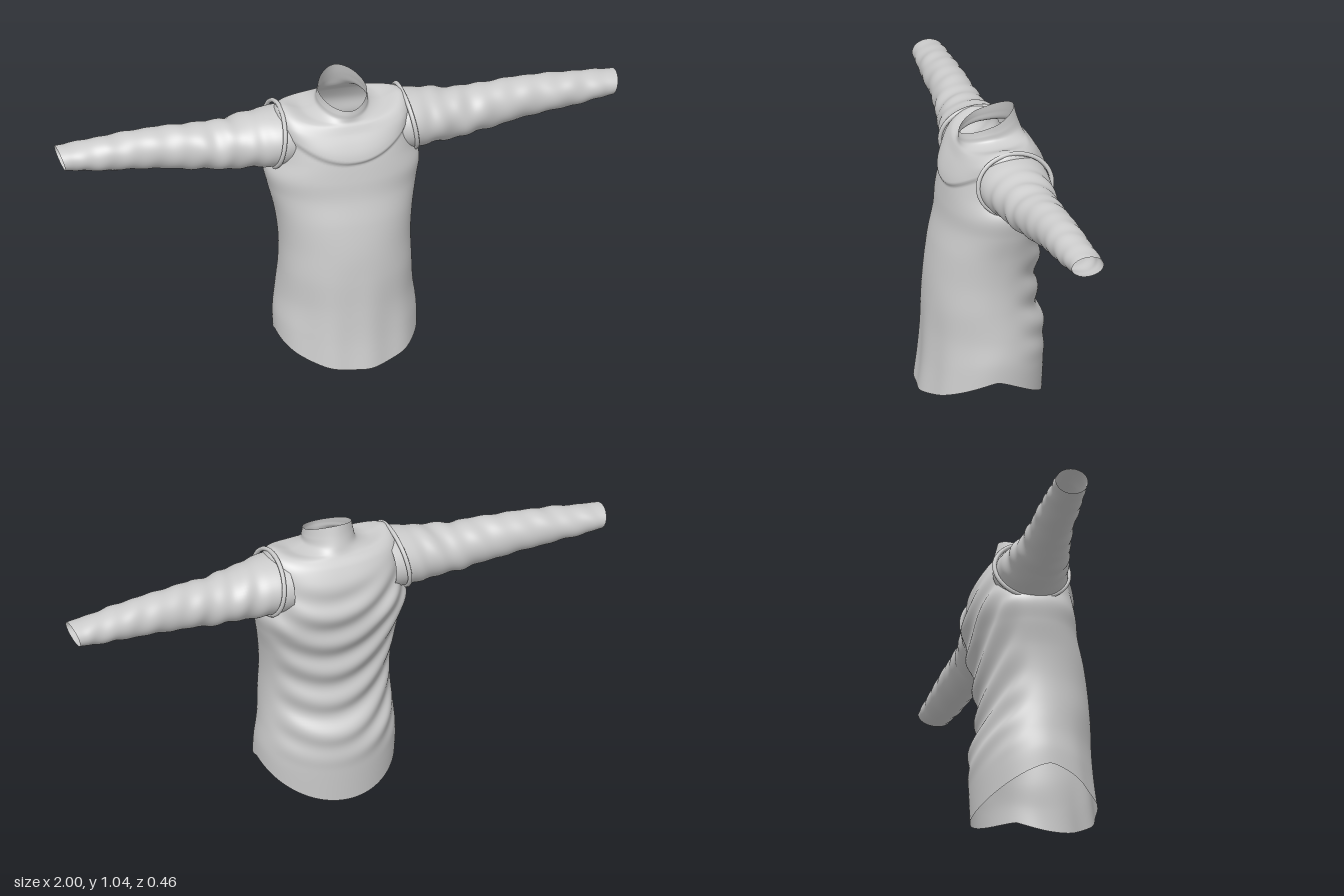
import * as THREE from 'three';

const cloth = new THREE.MeshStandardMaterial({ color: 0xcccccc, side: THREE.DoubleSide });
const lerp = THREE.MathUtils.lerp;
const smooth = THREE.MathUtils.smoothstep;

// Smooth interpolation through a short table of rows, t from 0 to 1
function sampleRows(rows, t) {
  const f = t * (rows.length - 1);
  const i = Math.min(Math.floor(f), rows.length - 2), u = f - i;
  const a = rows[Math.max(i - 1, 0)], b = rows[i], c = rows[i + 1], d = rows[Math.min(i + 2, rows.length - 1)];
  return b.map((v, k) => {
    const m0 = (c[k] - a[k]) / 2, m1 = (d[k] - v) / 2;
    return (2 * u ** 3 - 3 * u * u + 1) * v + (u ** 3 - 2 * u * u + u) * m0
      + (3 * u * u - 2 * u ** 3) * c[k] + (u ** 3 - u * u) * m1;
  });
}

// Open tube of cloth: point(angle, t) gives the surface, skip() leaves openings
function clothTube(name, cols, steps, point, skip = () => false) {
  const pos = [], index = [];
  for (let j = 0; j <= steps; j++) {
    for (let i = 0; i < cols; i++) pos.push(...point((i / cols) * Math.PI * 2, j / steps));
  }
  for (let j = 0; j < steps; j++) {
    for (let i = 0; i < cols; i++) {
      const a = j * cols + i, b = j * cols + ((i + 1) % cols), c = a + cols, d = b + cols;
      if (skip(pos[a * 3], pos[a * 3 + 1], pos[a * 3 + 2])) continue;
      index.push(a, b, d, a, d, c);
    }
  }
  const g = new THREE.BufferGeometry();
  g.setAttribute('position', new THREE.Float32BufferAttribute(pos, 3));
  g.setIndex(index);
  g.computeVertexNormals();
  const mesh = new THREE.Mesh(g, cloth);
  mesh.name = name;
  return mesh;
}

// Body rows: half width, front z, back z, y at front, side and back, squareness
const bodyRows = [
  [0.25, 0.228, -0.205, 0.028, 0.115, 0.0, 2.0],
  [0.25, 0.215, -0.21, 0.13, 0.18, 0.12, 2.0],
  [0.24, 0.208, -0.212, 0.24, 0.26, 0.23, 2.0],
  [0.232, 0.203, -0.185, 0.36, 0.36, 0.35, 2.1],
  [0.23, 0.195, -0.185, 0.46, 0.46, 0.46, 2.1],
  [0.24, 0.178, -0.195, 0.56, 0.56, 0.56, 2.2],
  [0.26, 0.155, -0.21, 0.65, 0.65, 0.65, 2.2],
  [0.272, 0.145, -0.222, 0.72, 0.72, 0.72, 2.3],
  [0.25, 0.132, -0.218, 0.79, 0.78, 0.79, 2.4],
  [0.24, 0.115, -0.205, 0.85, 0.86, 0.86, 2.4],
  [0.235, 0.1, -0.178, 0.885, 0.93, 0.91, 2.4],
  [0.205, 0.09, -0.155, 0.905, 0.957, 0.935, 2.3],
  [0.14, 0.082, -0.145, 0.918, 0.938, 0.95, 2.1],
  [0.096, 0.08, -0.137, 0.93, 0.95, 0.97, 2.0],
  [0.088, 0.08, -0.125, 0.945, 0.975, 1.005, 1.9],
  [0.085, 0.078, -0.115, 0.96, 1.0, 1.044, 1.8],
];

function bodyPoint(a, t) {
  const [w, zf, zb, yf, ys, yb, n] = sampleRows(bodyRows, t);
  const s = Math.sin(a), c = Math.cos(a);
  const px = Math.sign(s) * Math.abs(s) ** (2 / n), pz = Math.sign(c) * Math.abs(c) ** (2 / n);
  const x = w * px;
  const y = lerp(ys, c > 0 ? yf : yb, Math.abs(c) ** 1.3);
  let z = (zf + zb) / 2 + ((zf - zb) / 2) * pz;
  const face = smooth(Math.abs(c), 0.2, 0.7);
  if (c > 0) {
    // Draped yoke edge across the chest
    const edge = 0.785 + 1.9 * x * x;
    z += 0.012 * face * smooth(y, edge - 0.008, edge + 0.01) * (1 - smooth(y, edge + 0.02, edge + 0.11));
    // Soft vertical pleats towards the hem
    z += 0.004 * Math.sin(x * 45) * face * (1 - smooth(y, 0.05, 0.45));
  } else {
    // Sagging folds across the back
    const band = smooth(y, 0.12, 0.28) * (1 - smooth(y, 0.75, 0.9));
    z -= 0.008 * face * band * Math.sin((y - 2.2 * x * x + 0.25 * x) * 52);
  }
  return [x, y, z];
}

// Sleeve rows: x, centre y, half height, centre z, half depth
const sleeveRows = [
  [0.19, 0.838, 0.098, -0.055, 0.125],
  [0.24, 0.835, 0.1, -0.052, 0.126],
  [0.32, 0.83, 0.094, -0.056, 0.11],
  [0.44, 0.825, 0.084, -0.062, 0.092],
  [0.56, 0.832, 0.079, -0.07, 0.078],
  [0.68, 0.838, 0.071, -0.08, 0.07],
  [0.8, 0.838, 0.062, -0.085, 0.066],
  [0.9, 0.837, 0.052, -0.092, 0.061],
  [1.0, 0.837, 0.041, -0.096, 0.057],
];

function sleevePoint(side) {
  return (angle, t) => {
    const a = -side * angle;
    const [x, cy, ry, cz, rz] = sampleRows(sleeveRows, t);
    // Slanted wrinkles that gather at the upper arm and elbow
    const amount = 0.025 + 0.025 * Math.exp(-(((x - 0.42) / 0.12) ** 2)) + 0.015 * Math.exp(-(((x - 0.85) / 0.1) ** 2));
    const fade = smooth(x, 0.24, 0.32) * (1 - smooth(x, 0.95, 1));
    const r = 1 + amount * fade * (Math.sin(x * 75 + 2 * Math.sin(a + 0.6)) * 0.6 + Math.sin(x * 43 - 3 * a) * 0.5);
    const slant = 0.012 * Math.sin(a) * smooth(x, 0.9, 1);
    return [side * Math.min(x - 0.012 * smooth(x, 0.9, 1) + slant, 1), cy + ry * r * Math.sin(a), cz + rz * r * Math.cos(a)];
  };
}

// Raised seam around the armhole
function armholeSeam(side) {
  const pts = [];
  for (let i = 0; i < 24; i++) {
    const a = (i / 24) * Math.PI * 2;
    pts.push(new THREE.Vector3(side * (0.236 - 0.018 * Math.sin(a)), 0.842 + 0.108 * Math.sin(a), -0.053 + 0.132 * Math.cos(a)));
  }
  const seam = new THREE.Mesh(new THREE.TubeGeometry(new THREE.CatmullRomCurve3(pts, true), 64, 0.008, 8, true), cloth);
  seam.name = side > 0 ? 'leftArmholeSeam' : 'rightArmholeSeam';
  return seam;
}

export function createModel() {
  const shirt = new THREE.Group();
  shirt.name = 'shirt';
  // Body and collar, left open where the sleeves join
  const inArmhole = (x, y, z) => Math.abs(x) > 0.17 && ((y - 0.838) / 0.075) ** 2 + ((z + 0.055) / 0.095) ** 2 < 1;
  shirt.add(clothTube('bodyAndCollar', 128, 180, bodyPoint, inArmhole));
  for (const side of [1, -1]) {
    shirt.add(clothTube(side > 0 ? 'leftSleeve' : 'rightSleeve', 56, 120, sleevePoint(side)));
    shirt.add(armholeSeam(side));
  }
  return shirt;
}
